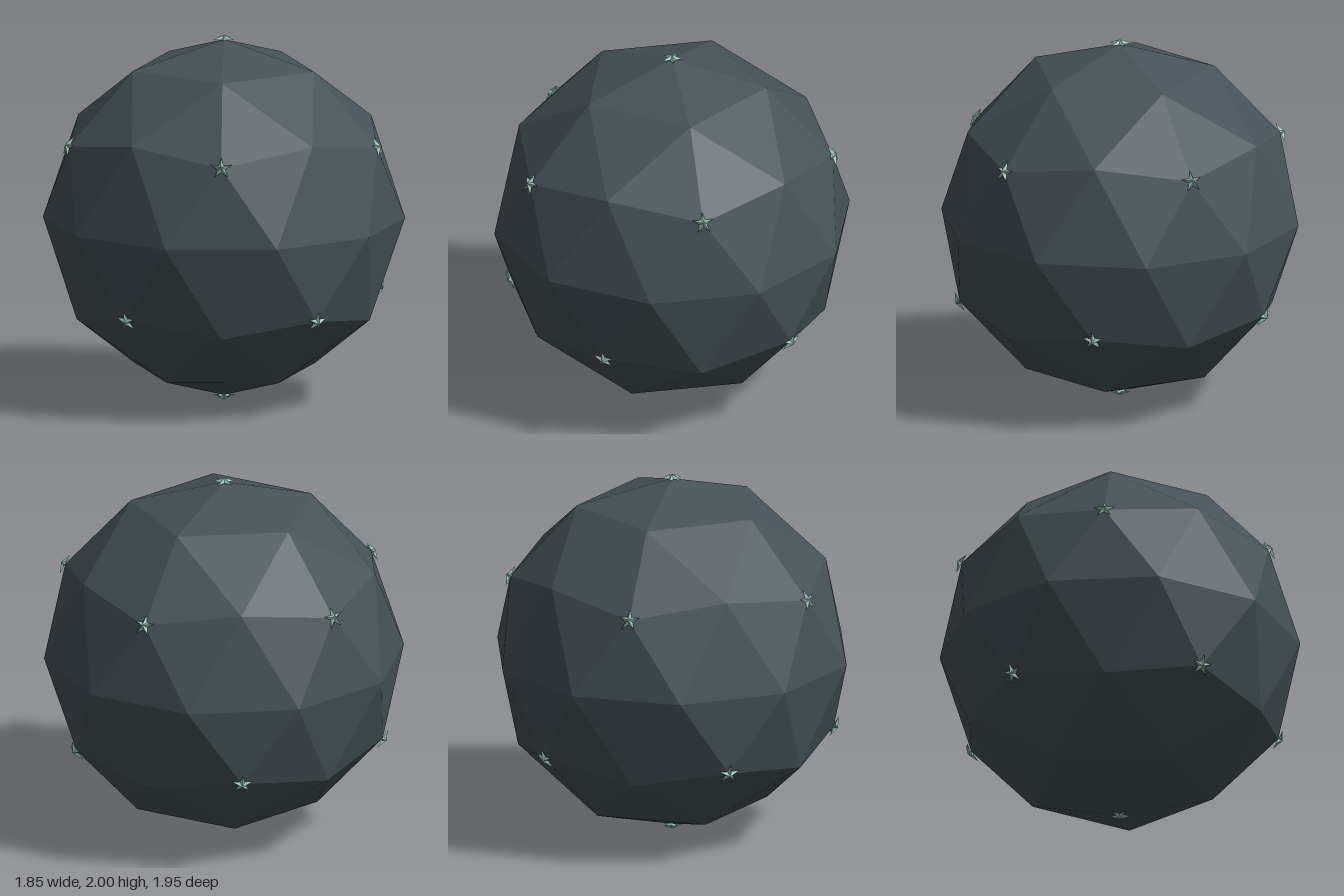
import * as THREE from 'three';

const RADIUS = 0.975;      // faceted ball
const STAR_RADIUS = 0.061; // star tips
const STAR_HEIGHT = 0.025;

// Five-pointed faceted star: a ten-sided cone with every other base corner pulled in
function starGeometry() {
  const geo = new THREE.ConeGeometry(STAR_RADIUS, STAR_HEIGHT, 10, 1);
  geo.translate(0, STAR_HEIGHT / 2, 0);
  const pos = geo.attributes.position;
  for (let i = 0; i < pos.count; i++) {
    const x = pos.getX(i), z = pos.getZ(i);
    if (Math.hypot(x, z) < 1e-5) continue;
    const step = Math.round(Math.atan2(x, z) / (Math.PI / 5));
    if (step % 2 !== 0) {
      pos.setX(i, x * 0.36);
      pos.setZ(i, z * 0.36);
    }
  }
  geo.computeVertexNormals();
  return geo;
}

export function createModel() {
  const model = new THREE.Group();
  model.name = 'starStuddedBall';

  const slate = new THREE.MeshStandardMaterial({ color: 0x465257, flatShading: true });
  slate.name = 'dark slate';
  const mint = new THREE.MeshStandardMaterial({ color: 0x9cc4b8, flatShading: true });
  mint.name = 'pale mint';

  // Ball: once-subdivided icosahedron standing on a corner
  const ballGeo = new THREE.IcosahedronGeometry(RADIUS, 1);
  ballGeo.rotateX(-Math.atan((1 + Math.sqrt(5)) / 2));
  ballGeo.rotateY(Math.PI / 2);
  const ball = new THREE.Mesh(ballGeo, slate);
  ball.name = 'ball';
  ball.position.y = 1;
  model.add(ball);

  // The twelve main corners: two poles and two staggered rings of five
  const corners = [new THREE.Vector3(0, 1, 0), new THREE.Vector3(0, -1, 0)];
  const ringY = 1 / Math.sqrt(5), ringR = 2 / Math.sqrt(5);
  for (let i = 0; i < 10; i++) {
    const a = (i * Math.PI) / 5;
    corners.push(new THREE.Vector3(ringR * Math.cos(a), i % 2 ? -ringY : ringY, ringR * Math.sin(a)));
  }

  // A star on each corner, one tip pointing up
  const starGeo = starGeometry();
  corners.forEach((n, i) => {
    const up = i < 2 ? new THREE.Vector3(n.y, 0, 0) : new THREE.Vector3(0, 1, 0);
    const tip = up.addScaledVector(n, -up.dot(n)).normalize();
    const side = new THREE.Vector3().crossVectors(n, tip);
    const star = new THREE.Mesh(starGeo, mint);
    star.name = `star${i + 1}`;
    star.quaternion.setFromRotationMatrix(new THREE.Matrix4().makeBasis(side, n, tip));
    star.position.copy(n).multiplyScalar(RADIUS);
    star.position.y += 1;
    model.add(star);
  });

  return model;
}
